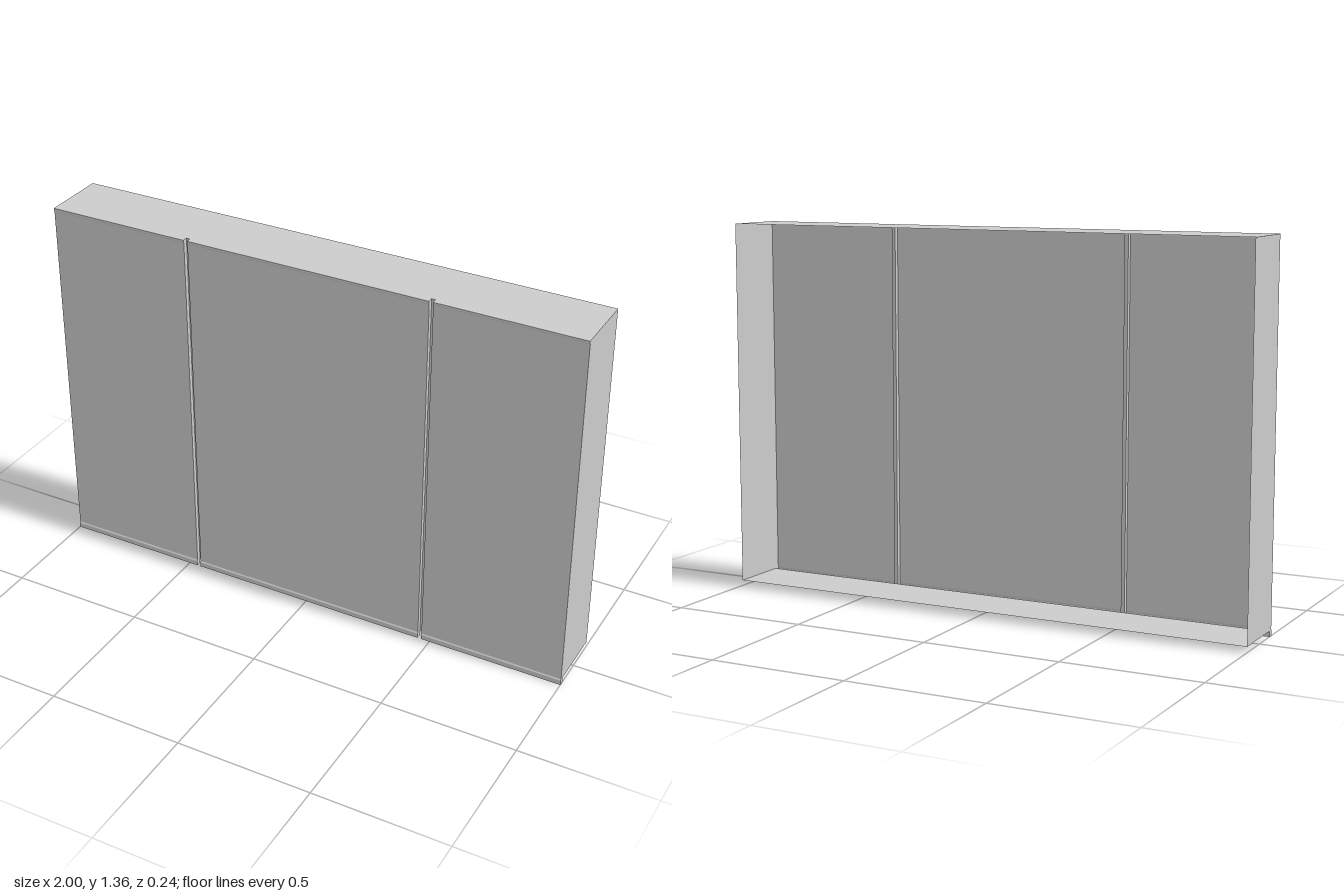
import * as THREE from 'three';

const material = new THREE.MeshStandardMaterial({ color: 0xcccccc, side: THREE.DoubleSide, flatShading: true });

const BACK = -0.12, RECESS = 0.1, FACE = 0.117, LIP = 0.12;
const BASE = 0.02, TOP = 1.355;

// Front section of a door as [z, y]: finger pull at the bottom, slim lip at the top
const doorProfile = [
  [RECESS, BASE], [RECESS, 0], [LIP, 0], [LIP, 0.018], [FACE, 0.023],
  [FACE, 1.343], [LIP, 1.347], [LIP, TOP], [RECESS, TOP],
];

// Sheet swept along x from a [z, y] polyline, with hard folds
function sheet(name, points, x0, x1) {
  const pos = [];
  for (let i = 0; i < points.length - 1; i++) {
    const [z0, y0] = points[i], [z1, y1] = points[i + 1];
    pos.push(x0, y0, z0, x1, y0, z0, x1, y1, z1);
    pos.push(x0, y0, z0, x1, y1, z1, x0, y1, z1);
  }
  const geometry = new THREE.BufferGeometry();
  geometry.setAttribute('position', new THREE.Float32BufferAttribute(pos, 3));
  geometry.computeVertexNormals();
  const mesh = new THREE.Mesh(geometry, material);
  mesh.name = name;
  return mesh;
}

// Flat sheet across x, outlined by [z, y] points, facing +x or -x
function endSheet(name, points, x, facing) {
  const shape = new THREE.Shape(points.map(([z, y]) => new THREE.Vector2(-facing * z, y)));
  const geometry = new THREE.ShapeGeometry(shape).rotateY(facing * Math.PI / 2);
  const mesh = new THREE.Mesh(geometry, material);
  mesh.name = name;
  mesh.position.x = x;
  return mesh;
}

export function createModel() {
  const model = new THREE.Group();
  model.name = 'wallCabinet';

  // Carcass, open at the back
  model.add(sheet('topPanel', [[BACK, TOP], [RECESS, TOP]], 1, -1));
  model.add(sheet('bottomPanel', [[BACK, BASE], [RECESS, BASE]], -1, 1));
  const sideOutline = [[BACK, BASE], ...doorProfile, [BACK, TOP]];
  for (const s of [-1, 1]) {
    model.add(endSheet(s > 0 ? 'leftSide' : 'rightSide', sideOutline, s, s));
  }

  // Three doors
  const inner = 0.453, outer = 0.467;
  const doors = [['rightDoor', -1, -outer], ['centreDoor', -inner, inner], ['leftDoor', outer, 1]];
  for (const [name, x0, x1] of doors) model.add(sheet(name, doorProfile, x0, x1));

  // Recessed gaps between the doors
  for (const s of [-1, 1]) {
    const gap = new THREE.Group();
    gap.name = s > 0 ? 'leftGap' : 'rightGap';
    const [a, b] = s > 0 ? [inner, outer] : [-outer, -inner];
    gap.add(sheet('gapBack', [[RECESS, BASE], [RECESS, TOP]], a, b));
    gap.add(endSheet('gapWall', doorProfile, a, 1));
    gap.add(endSheet('gapWall', doorProfile, b, -1));
    model.add(gap);
  }
  return model;
}
